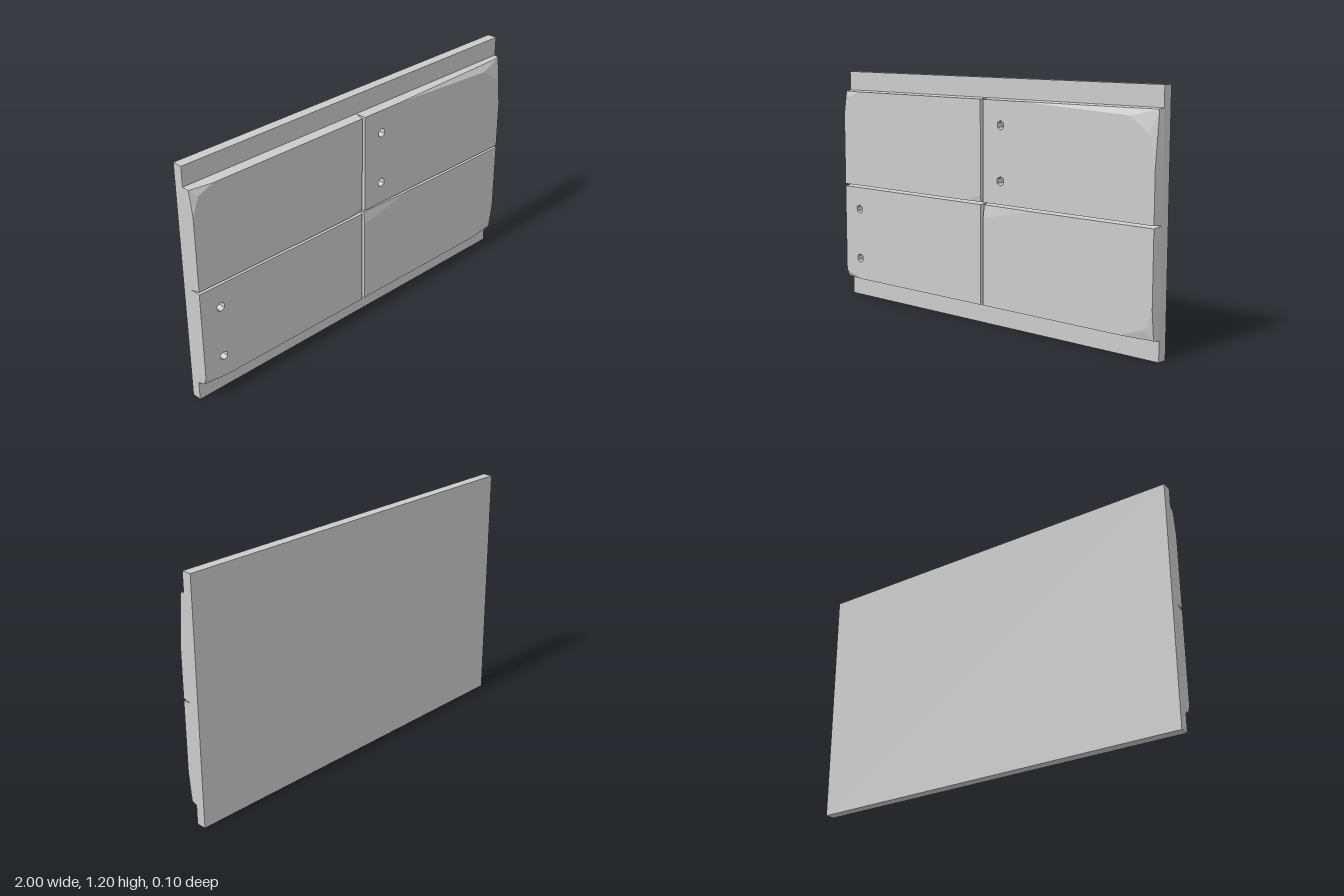
import * as THREE from 'three';

const FRONT = 0.05; // height of the panel faces above the backing board
const material = new THREE.MeshStandardMaterial({ color: 0xcccccc, flatShading: true });

// Flat-shaded geometry from a plain list of triangle corners
function fromTriangles(tris) {
  const g = new THREE.BufferGeometry().setFromPoints(tris);
  g.computeVertexNormals();
  return g;
}

const hexagon = ([x, y], r = 0.023) => Array.from({ length: 6 }, (_, i) => {
  const a = Math.PI / 2 + i * Math.PI / 3;
  return new THREE.Vector2(x + r * Math.cos(a), y + r * Math.sin(a));
});

// One panel: flat face with hexagonal holes, worn-down corners and splayed walls.
// base: outer rectangle on the backing; top: smaller rectangle of the face;
// chips[i]: worn corner i (counter-clockwise from bottom left) as
// { z, from, inner, to }, running counter-clockwise round the panel.
function panelGeometry({ base, top, chips, holes = [] }) {
  const tris = [];
  const corners = ([x0, y0, x1, y1]) => [[x0, y0], [x1, y0], [x1, y1], [x0, y1]];
  const v3 = ([x, y], z = FRONT) => new THREE.Vector3(x, y, z);
  const face = [], rim = [];

  corners(top).forEach((c, i) => {
    const chip = chips[i];
    if (!chip) {
      face.push(c);
      rim.push(v3(c));
      return;
    }
    const edge = [chip.from, ...(chip.inner || []), chip.to];
    const tip = v3(c, chip.z);
    face.push(...edge);
    rim.push(v3(chip.from), tip, v3(chip.to));
    // facets falling from the flat face to the worn corner
    for (let k = 0; k + 1 < edge.length; k++) tris.push(tip, v3(edge[k + 1]), v3(edge[k]));
  });

  // flat face
  const contour = face.map(p => new THREE.Vector2(...p));
  const rings = holes.map(h => hexagon(h));
  const points = [...contour, ...rings.flat()];
  for (const tri of THREE.ShapeUtils.triangulateShape(contour, rings)) {
    const [a, b, c] = tri.map(i => points[i]);
    const ccw = (b.x - a.x) * (c.y - a.y) - (b.y - a.y) * (c.x - a.x) > 0;
    (ccw ? [a, b, c] : [a, c, b]).forEach(p => tris.push(v3([p.x, p.y])));
  }

  // outer walls, spreading from the face to the base rectangle
  const spread = (v, t0, t1, b0, b1) => b0 + (v - t0) / (t1 - t0) * (b1 - b0);
  const foot = p => v3([
    spread(p.x, top[0], top[2], base[0], base[2]),
    spread(p.y, top[1], top[3], base[1], base[3])], 0);
  rim.forEach((p, i) => {
    const q = rim[(i + 1) % rim.length];
    tris.push(foot(p), foot(q), q, foot(p), q, p);
  });

  // hole walls, facing inward
  for (const ring of rings) ring.forEach((p, i) => {
    const q = ring[(i + 1) % 6];
    const a = [p.x, p.y], b = [q.x, q.y];
    tris.push(v3(b, 0), v3(a, 0), v3(a), v3(b, 0), v3(a), v3(b));
  });
  return fromTriangles(tris);
}

const panels = {
  lowerLeftPanel: {
    base: [-1, 0.097, 0, 0.602], top: [-0.995, 0.102, -0.009, 0.596],
    chips: { 0: { z: 0.033, from: [-0.995, 0.14], inner: [[-0.97, 0.125]], to: [-0.87, 0.102] } },
    holes: [[-0.885, 0.48], [-0.885, 0.215]],
  },
  lowerRightPanel: {
    base: [0, 0.097, 1, 0.602], top: [0.009, 0.102, 0.995, 0.596],
    chips: {
      1: { z: 0.035, from: [0.83, 0.102], inner: [[0.96, 0.15]], to: [0.995, 0.24] },
      3: { z: 0.042, from: [0.31, 0.596], to: [0.009, 0.53] },
    },
  },
  upperLeftPanel: {
    base: [-1, 0.602, 0, 1.107], top: [-0.995, 0.608, -0.009, 1.102],
    chips: {
      1: { z: 0.044, from: [-0.11, 0.608], to: [-0.009, 0.64] },
      3: { z: 0.032, from: [-0.88, 1.102], inner: [[-0.96, 1.07]], to: [-0.995, 0.98] },
    },
  },
  upperRightPanel: {
    base: [0, 0.602, 1, 1.107], top: [0.009, 0.608, 0.995, 1.102],
    chips: {
      2: { z: 0.026, from: [0.995, 0.85], inner: [[0.96, 1.0], [0.86, 1.07]], to: [0.24, 1.102] },
    },
    holes: [[0.12, 0.985], [0.12, 0.72]],
  },
};

export function createModel() {
  const group = new THREE.Group();
  group.name = 'panelledWall';

  // backing board
  const backing = new THREE.Mesh(new THREE.BoxGeometry(2, 1.204, 0.05), material);
  backing.position.set(0, 0.602, -0.025);
  backing.name = 'backingBoard';
  group.add(backing);

  // four worn panels
  for (const [name, spec] of Object.entries(panels)) {
    const mesh = new THREE.Mesh(panelGeometry(spec), material);
    mesh.name = name;
    group.add(mesh);
  }
  return group;
}
